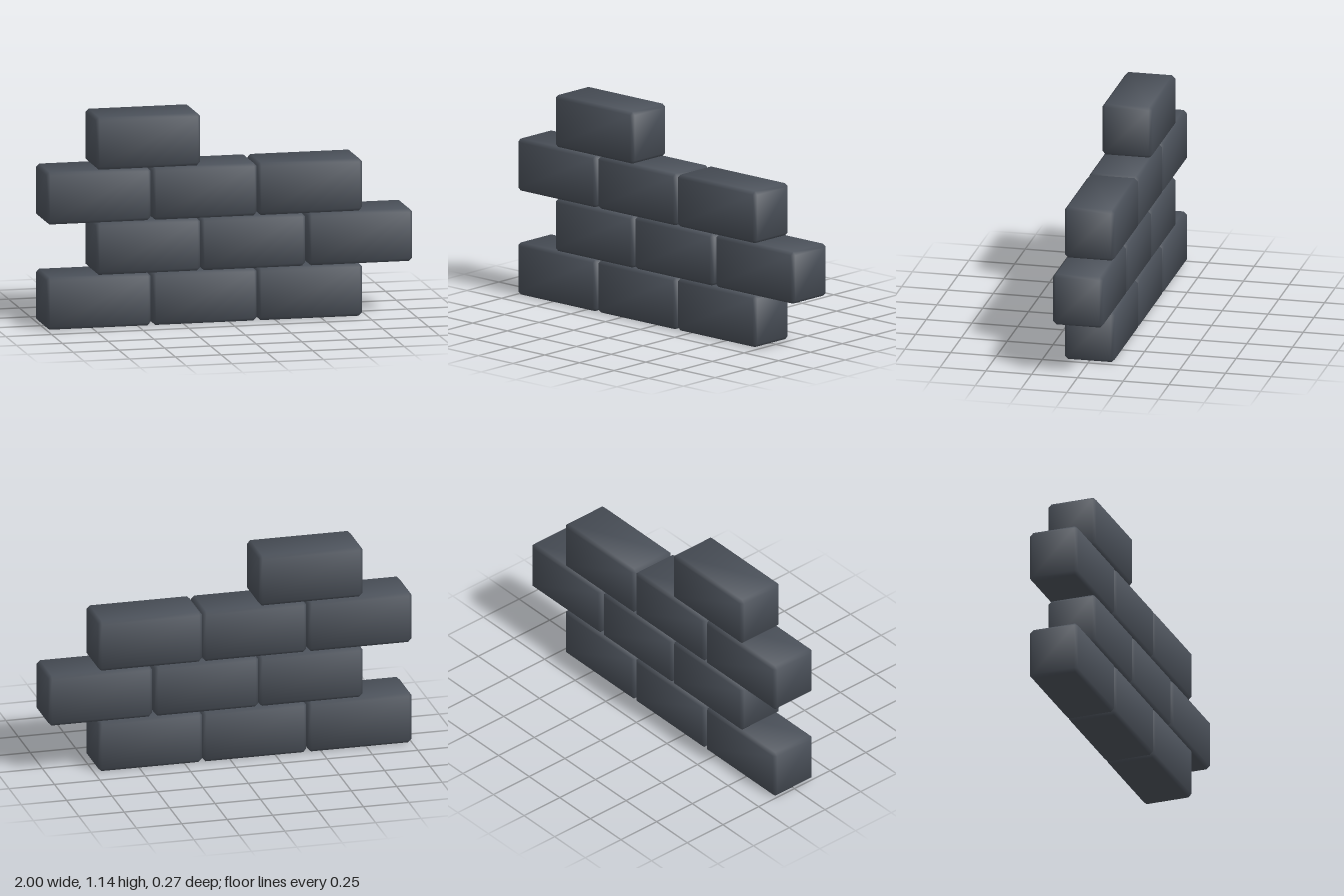
import * as THREE from 'three';
import { ConvexGeometry } from 'three/addons/geometries/ConvexGeometry.js';

const LENGTH = 0.571, HEIGHT = 0.285, DEPTH = 0.274, BEVEL = 0.018;

// Chamfered block whose normals blend softly across the bevels
function brickGeometry() {
  const half = [LENGTH / 2, HEIGHT / 2, DEPTH / 2];
  const points = [];
  for (const sx of [-1, 1]) for (const sy of [-1, 1]) for (const sz of [-1, 1]) {
    for (let axis = 0; axis < 3; axis++) {
      const c = [sx, sy, sz].map((s, i) => s * (half[i] - (i === axis ? 0 : BEVEL)));
      points.push(new THREE.Vector3(...c));
    }
  }
  const geometry = new ConvexGeometry(points);
  const pos = geometry.attributes.position, normal = geometry.attributes.normal;
  const n = new THREE.Vector3();
  for (let i = 0; i < pos.count; i++) {
    // the axis that reaches full size is the face this corner belongs to
    const p = [pos.getX(i), pos.getY(i), pos.getZ(i)];
    n.set(...p.map((v, a) => Math.sign(v) * (half[a] - Math.abs(v) < BEVEL / 2 ? 2.8 : 1.09))).normalize();
    normal.setXYZ(i, n.x, n.y, n.z);
  }
  return geometry;
}

export function createModel() {
  const wall = new THREE.Group();
  wall.name = 'brickWall';
  const slate = new THREE.MeshStandardMaterial({ color: 0x4b515a });
  slate.name = 'slate';
  const geometry = brickGeometry();

  // Brick centres in each course, bottom to top
  const even = [-0.714, -0.135, 0.44];
  const odd = [-0.444, 0.13, 0.7145];
  const courses = [even, odd, even, odd.slice(0, 1)];
  courses.forEach((centres, row) => {
    const course = new THREE.Group();
    course.name = `course${row + 1}`;
    centres.forEach((x, i) => {
      const brick = new THREE.Mesh(geometry, slate);
      brick.name = `brick${row + 1}_${i + 1}`;
      brick.position.set(x, HEIGHT * (row + 0.5), 0);
      course.add(brick);
    });
    wall.add(course);
  });
  return wall;
}
